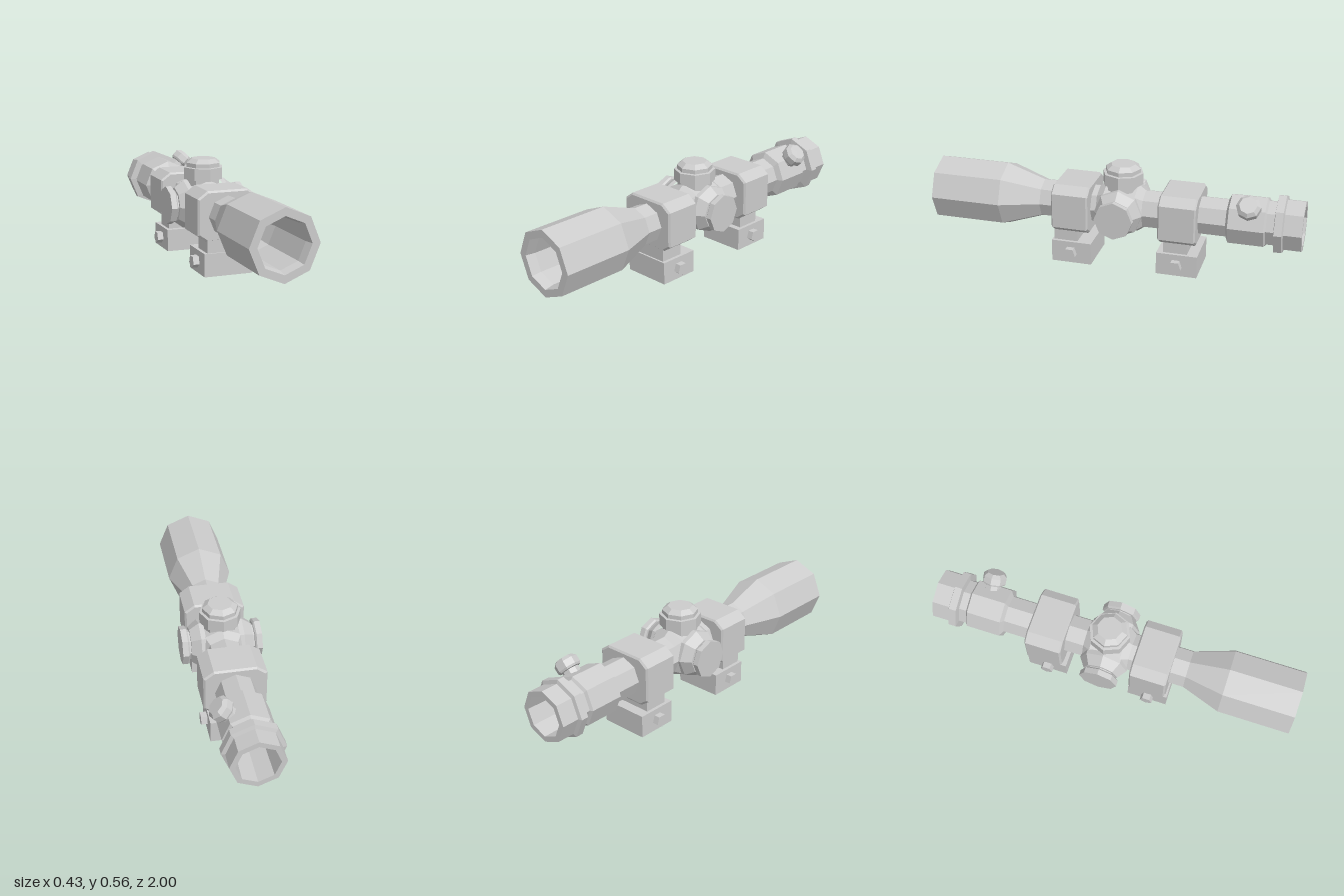
import * as THREE from 'three';

const AXIS_Y = 0.311;   // height of the optical axis
const DIAL_Z = -0.035;  // position of the adjustment dials

const material = new THREE.MeshStandardMaterial({ color: 0xcccccc, flatShading: true });

function add(parent, name, geometry, x = 0, y = 0, z = 0) {
  const mesh = new THREE.Mesh(geometry, material);
  mesh.name = name;
  mesh.position.set(x, y, z);
  parent.add(mesh);
  return mesh;
}

// Eight-sided turned part from [radius, height] pairs
const turned = (profile) =>
  new THREE.LatheGeometry(profile.map(([r, h]) => new THREE.Vector2(r, h)), 8);

export function createModel() {
  const group = new THREE.Group();

  // Hollow tube: outside from eyepiece to objective, then back along the bore
  const tube = turned([
    [0.139, -1], [0.139, -0.906], [0.159, -0.9], [0.159, -0.86],
    [0.122, -0.855], [0.122, -0.815], [0.137, -0.805], [0.137, -0.62], [0.105, -0.605],
    [0.105, -0.16], [0.135, -0.12], [0.135, 0.05], [0.105, 0.09],
    [0.105, 0.405], [0.178, 0.615], [0.178, 1],
    [0.137, 1], [0.127, 0.95], [0.127, 0.62], [0.087, 0.4],
    [0.087, -0.62], [0.105, -0.75], [0.11, -1], [0.139, -1],
  ]);
  tube.rotateX(Math.PI / 2);
  add(group, 'tube', tube, 0, AXIS_Y, 0);

  // Top dial with its chamfered cap
  add(group, 'topDial', turned([
    [0.092, 0.405], [0.092, 0.447], [0.11, 0.449], [0.11, 0.511],
    [0.095, 0.513], [0.095, 0.535], [0.066, 0.556], [0, 0.556],
  ]), 0, 0, DIAL_Z);

  // Side housings and dials
  for (const side of [1, -1]) {
    const dial = add(group, side > 0 ? 'leftDial' : 'rightDial', turned([
      [0.13, 0.09], [0.13, 0.115], [0.094, 0.165], [0.08, 0.165], [0.08, 0.175],
      [0.094, 0.175], [0.103, 0.183], [0.103, 0.213], [0, 0.213],
    ]), 0, AXIS_Y, DIAL_Z);
    dial.rotation.z = -side * Math.PI / 2;
  }

  // Small slanted knob on the eyepiece
  const knob = add(group, 'eyepieceKnob', turned([
    [0.045, 0.112], [0.045, 0.148], [0.058, 0.15], [0.064, 0.16],
    [0.064, 0.195], [0.046, 0.213], [0, 0.213],
  ]), 0, AXIS_Y, -0.725);
  knob.rotation.z = -Math.PI / 4;

  // Clamp ring outline with an opening for the tube
  const ringShape = new THREE.Shape([
    [-0.113, 0.18], [0.113, 0.18], [0.163, 0.215], [0.163, 0.405],
    [0.11, 0.444], [-0.11, 0.444], [-0.163, 0.405], [-0.163, 0.215],
  ].map(([x, y]) => new THREE.Vector2(x, y)));
  const opening = [];
  for (let i = 0; i < 8; i++) {
    const a = -i * Math.PI / 4;
    opening.push(new THREE.Vector2(0.094 * Math.cos(a), AXIS_Y + 0.094 * Math.sin(a)));
  }
  ringShape.holes.push(new THREE.Path(opening));
  const ring = new THREE.ExtrudeGeometry(ringShape, {
    depth: 0.185, bevelEnabled: true, bevelThickness: 0.008,
    bevelSize: 0.01, bevelOffset: -0.01, bevelSegments: 1,
  });
  ring.translate(0, 0, -0.0925);

  // Five-sided bolt with one corner pointing down
  const bolt = new THREE.CylinderGeometry(0.035, 0.035, 0.328, 5);
  bolt.rotateY(-Math.PI / 2);
  bolt.rotateZ(Math.PI / 2);

  // Front and rear mounts
  for (const [name, z, neckShift] of [['frontMount', 0.22, 0.035], ['rearMount', -0.36, 0.012]]) {
    const mount = new THREE.Group();
    mount.name = name;
    mount.position.z = z;
    add(mount, 'clampRing', ring);
    add(mount, 'neck', new THREE.BoxGeometry(0.226, 0.08, 0.13), 0, 0.155, neckShift);
    add(mount, 'base', new THREE.BoxGeometry(0.262, 0.122, 0.22), 0, 0.061, 0);
    add(mount, 'bolt', bolt, 0, 0.062, 0.003);
    group.add(mount);
  }

  return group;
}
